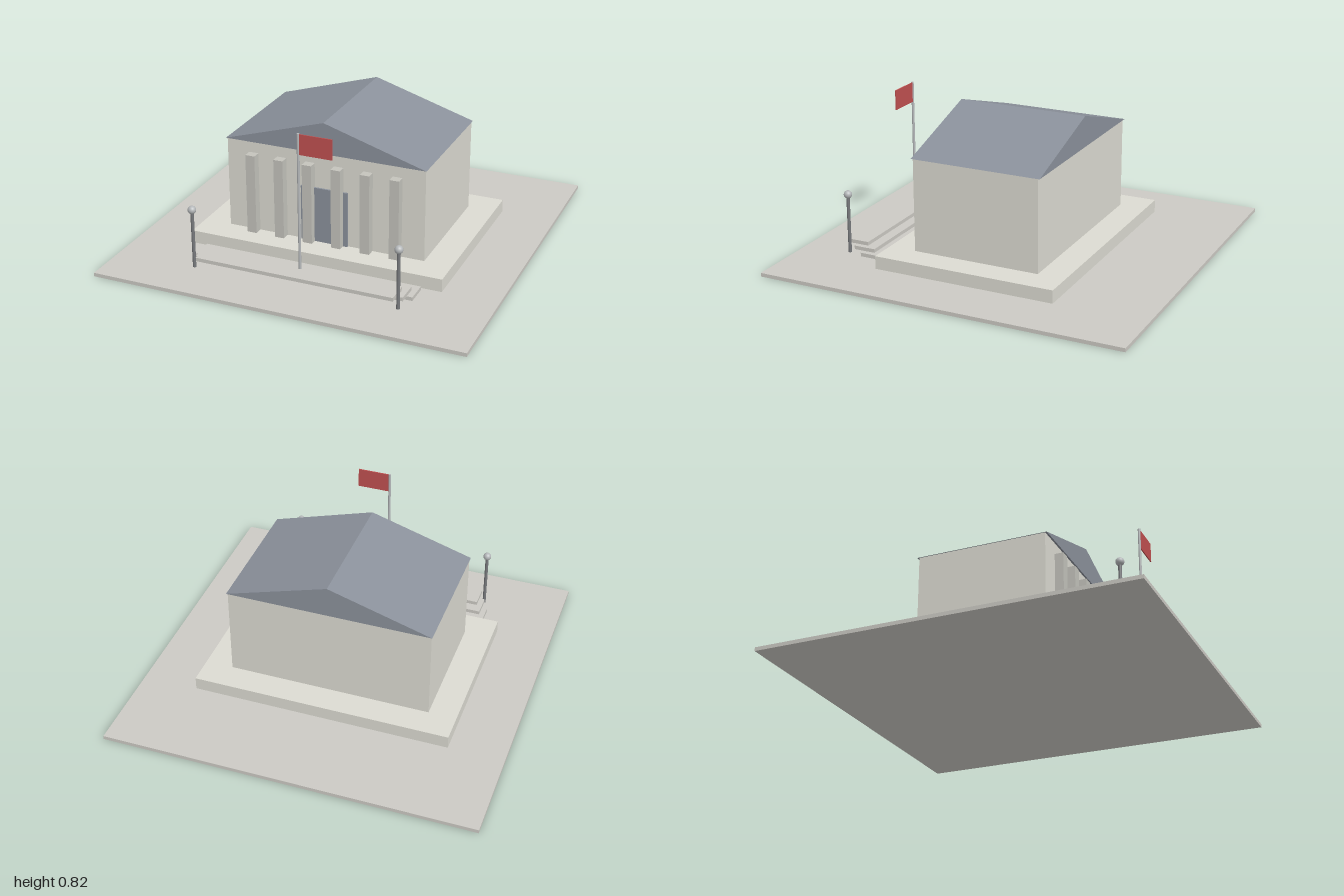
import * as THREE from 'three';

const paint = (color) => new THREE.MeshStandardMaterial({ color });

export function createModel() {
  const model = new THREE.Group();
  const stone = paint(0xdcdbd2), paving = paint(0xcccac4), slate = paint(0x8b919b);
  const pillar = paint(0xc4c3bc), metal = paint(0x77797c), pale = paint(0xb5b8ba), red = paint(0xc05050);

  const add = (name, geometry, material, x, y, z) => {
    const mesh = new THREE.Mesh(geometry, material);
    mesh.name = name;
    mesh.position.set(x, y, z);
    model.add(mesh);
    return mesh;
  };
  // Box given by its extents on each axis
  const box = (name, material, [x0, x1], [y0, y1], [z0, z1]) =>
    add(name, new THREE.BoxGeometry(x1 - x0, y1 - y0, z1 - z0), material,
      (x0 + x1) / 2, (y0 + y1) / 2, (z0 + z1) / 2);
  // Upright pole between two heights
  const pole = (name, material, r, x, y0, y1, z) =>
    add(name, new THREE.CylinderGeometry(r, r, y1 - y0, 16), material, x, (y0 + y1) / 2, z);

  // Ground slab, plinth and main block
  box('ground', paving, [-1, 1], [0, 0.02], [-1, 1]);
  box('plinth', stone, [-0.7, 0.7], [0.02, 0.09], [-0.5, 0.5]);
  box('walls', stone, [-0.55, 0.55], [0.09, 0.592], [-0.35, 0.35]);
  box('door', slate, [-0.13, 0.13], [0.09, 0.395], [0.34, 0.36]);

  // Gable roof with its ridge running front to back
  const gable = new THREE.Shape([
    new THREE.Vector2(-0.555, 0), new THREE.Vector2(0.555, 0), new THREE.Vector2(0, 0.17),
  ]);
  add('roof', new THREE.ExtrudeGeometry(gable, { depth: 0.72, bevelEnabled: false }), slate, 0, 0.592, -0.36);

  // Square pillars along the front
  for (let i = 0; i < 6; i++) {
    const x = -0.4 + i * 0.16;
    box('pillar', pillar, [x - 0.026, x + 0.026], [0.09, 0.53], [0.345, 0.397]);
  }

  // Three overlapping slabs of the entrance steps
  for (let i = 0; i < 3; i++) {
    const half = 0.6 - i * 0.03, y = 0.025 + i * 0.02, z = 0.53 + i * 0.055;
    box('step', paving, [-half, half], [y, y + 0.02], [z, z + 0.12]);
  }

  // Lamp posts with round heads
  for (const side of [-1, 1]) {
    pole('lampPost', metal, 0.009, side * 0.56, 0.02, 0.335, 0.74);
    add('lampHead', new THREE.SphereGeometry(0.022, 20, 14), pale, side * 0.56, 0.343, 0.74);
  }

  // Flagpole and flag
  pole('flagpole', pale, 0.007, 0, 0.02, 0.82, 0.66);
  box('flag', red, [0.003, 0.18], [0.71, 0.818], [0.657, 0.663]);

  return model;
}
